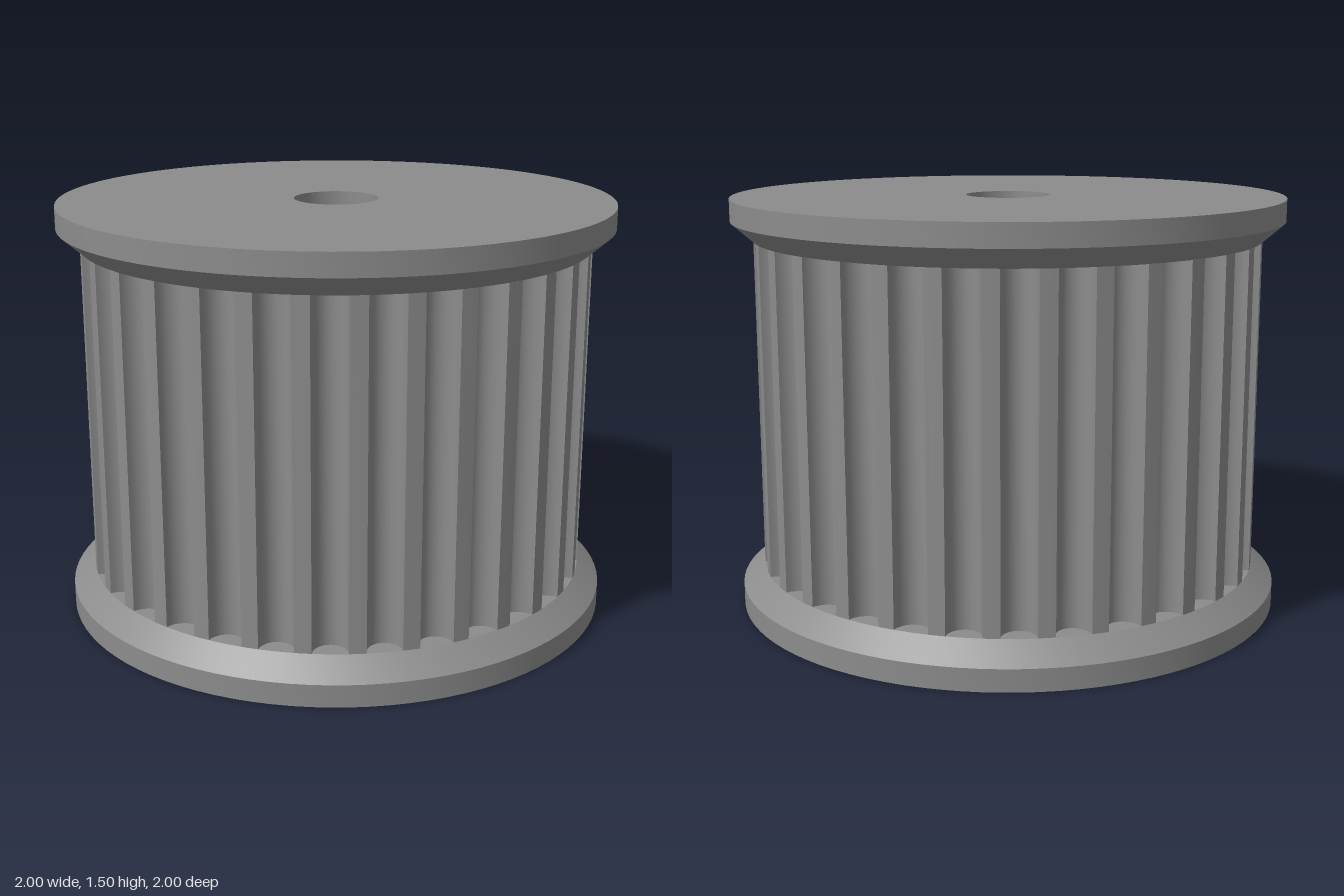
import * as THREE from 'three';
import { toCreasedNormals } from 'three/addons/utils/BufferGeometryUtils.js';

const TEETH = 32;
const BODY_R = 0.92;
const BORE_R = 0.152;
const FLANGE_H = 0.15;
const HEIGHT = 1.5;

// Toothed outline: a rounded groove centred on each pitch, with a narrow land between
function toothedShape() {
  const pitch = (Math.PI * 2) / TEETH;
  const half = THREE.MathUtils.degToRad(3.8);
  const halfWidth = BODY_R * Math.sin(half);
  const lip = BODY_R * Math.cos(half);
  const depth = 0.068;
  const steps = 12;
  const points = [];
  for (let i = 0; i < TEETH; i++) {
    const a = i * pitch;
    for (let s = 0; s <= steps; s++) {
      const t = (s / steps) * Math.PI;
      const r = lip - depth * Math.sin(t);
      const w = -halfWidth * Math.cos(t);
      points.push(new THREE.Vector2(
        r * Math.cos(a) - w * Math.sin(a),
        r * Math.sin(a) + w * Math.cos(a)));
    }
    // middle of the land
    const m = a + pitch / 2;
    points.push(new THREE.Vector2(BODY_R * Math.cos(m), BODY_R * Math.sin(m)));
  }
  const shape = new THREE.Shape(points);
  shape.holes.push(new THREE.Path().absarc(0, 0, BORE_R, 0, Math.PI * 2, true));
  return shape;
}

export function createModel() {
  const group = new THREE.Group();
  const metal = new THREE.MeshStandardMaterial({ color: 0x8c8c8c });
  metal.name = 'grey metal';

  // Toothed drum with bore
  const drumGeometry = new THREE.ExtrudeGeometry(toothedShape(), {
    depth: HEIGHT - 2 * FLANGE_H, bevelEnabled: false, curveSegments: 48,
  });
  drumGeometry.rotateX(-Math.PI / 2).translate(0, FLANGE_H, 0);
  const drum = new THREE.Mesh(toCreasedNormals(drumGeometry, 0.6), metal);
  drum.name = 'toothedDrum';
  group.add(drum);

  // Chamfered flanges, mirrored top and bottom
  const profile = [
    [BORE_R, 0], [1, 0], [1, 0.08], [BODY_R, FLANGE_H], [BORE_R, FLANGE_H], [BORE_R, 0],
  ].map(([x, y]) => new THREE.Vector2(x, y));
  const flangeGeometry = toCreasedNormals(new THREE.LatheGeometry(profile, 96), 0.6);
  const bottom = new THREE.Mesh(flangeGeometry, metal);
  bottom.name = 'bottomFlange';
  const top = new THREE.Mesh(flangeGeometry, metal);
  top.name = 'topFlange';
  top.rotation.x = Math.PI;
  top.position.y = HEIGHT;
  group.add(bottom, top);

  return group;
}
